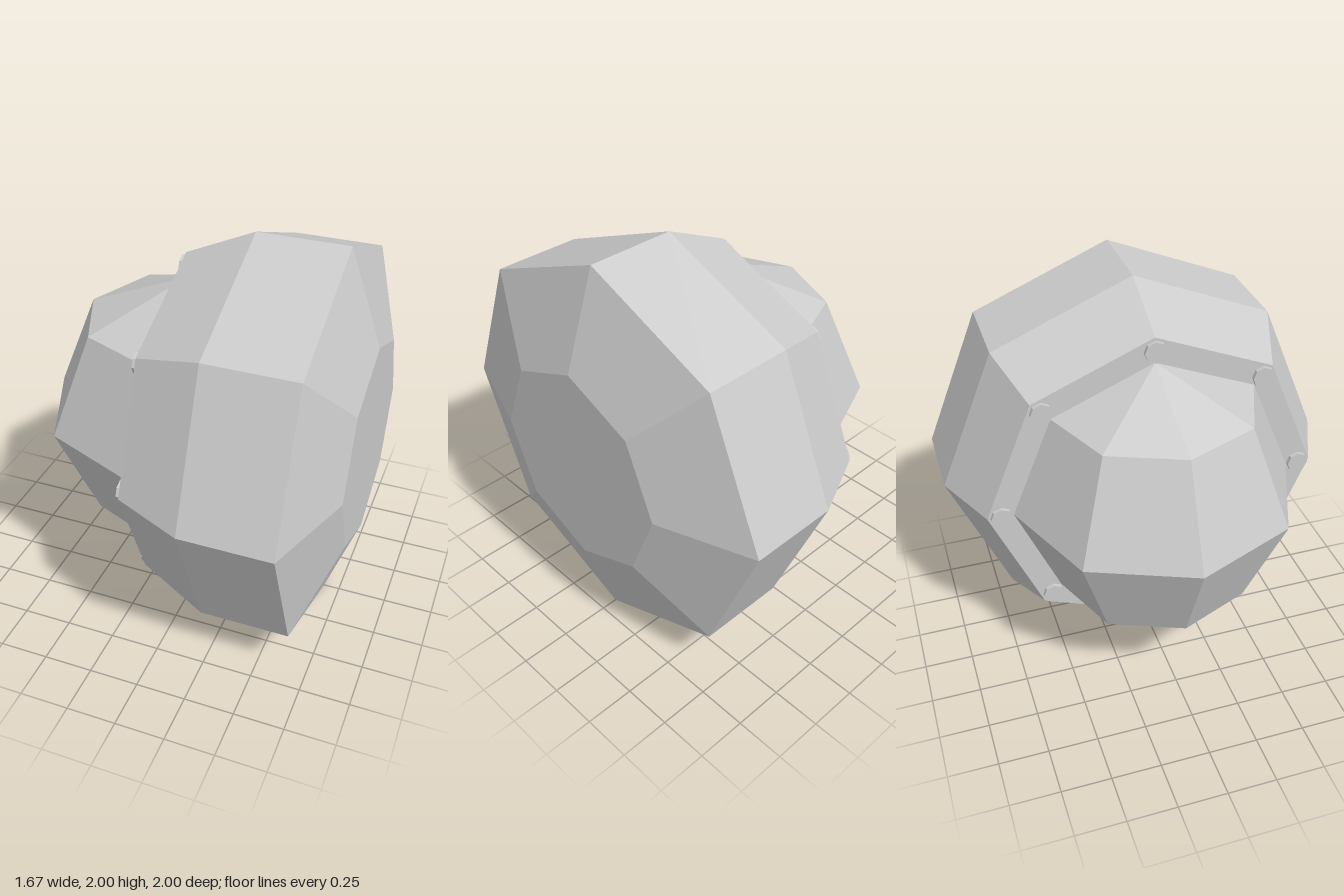
import * as THREE from 'three';

export function createModel() {
  const group = new THREE.Group();
  const material = new THREE.MeshStandardMaterial({ color: 0xcccccc, flatShading: true });
  const backX = -0.118;

  const add = (name, geometry, x = 0, y = 1, z = 0) => {
    const mesh = new THREE.Mesh(geometry, material);
    mesh.name = name;
    mesh.position.set(x, y, z);
    group.add(mesh);
    return mesh;
  };

  // Octagonal housing: a closed profile turned about the x axis
  const profile = [[0, backX], [0.845, backX], [0.222, 0.222], [0, 0.833]];
  profile.splice(2, 2, [1, 0.222], [1, 0.667], [0.523, 0.833], [0, 0.833]);
  const housing = new THREE.LatheGeometry(profile.map(([r, h]) => new THREE.Vector2(r, h)), 8);
  housing.rotateZ(-Math.PI / 2);
  add('housing', housing);

  // Faceted half dome on the back plate, with its poles along y
  add('dome', new THREE.SphereGeometry(0.715, 4, 4, -Math.PI / 2, Math.PI), backX);

  // Ring of bolts, one at each corner of the back plate
  for (let i = 0; i < 8; i++) {
    const a = (i * Math.PI) / 4;
    const bolt = new THREE.CylinderGeometry(0.055, 0.055, 0.03, 8);
    bolt.rotateZ(Math.PI / 2);
    add('bolt', bolt, backX - 0.005, 1 + 0.775 * Math.cos(a), 0.775 * Math.sin(a));
  }

  return group;
}
